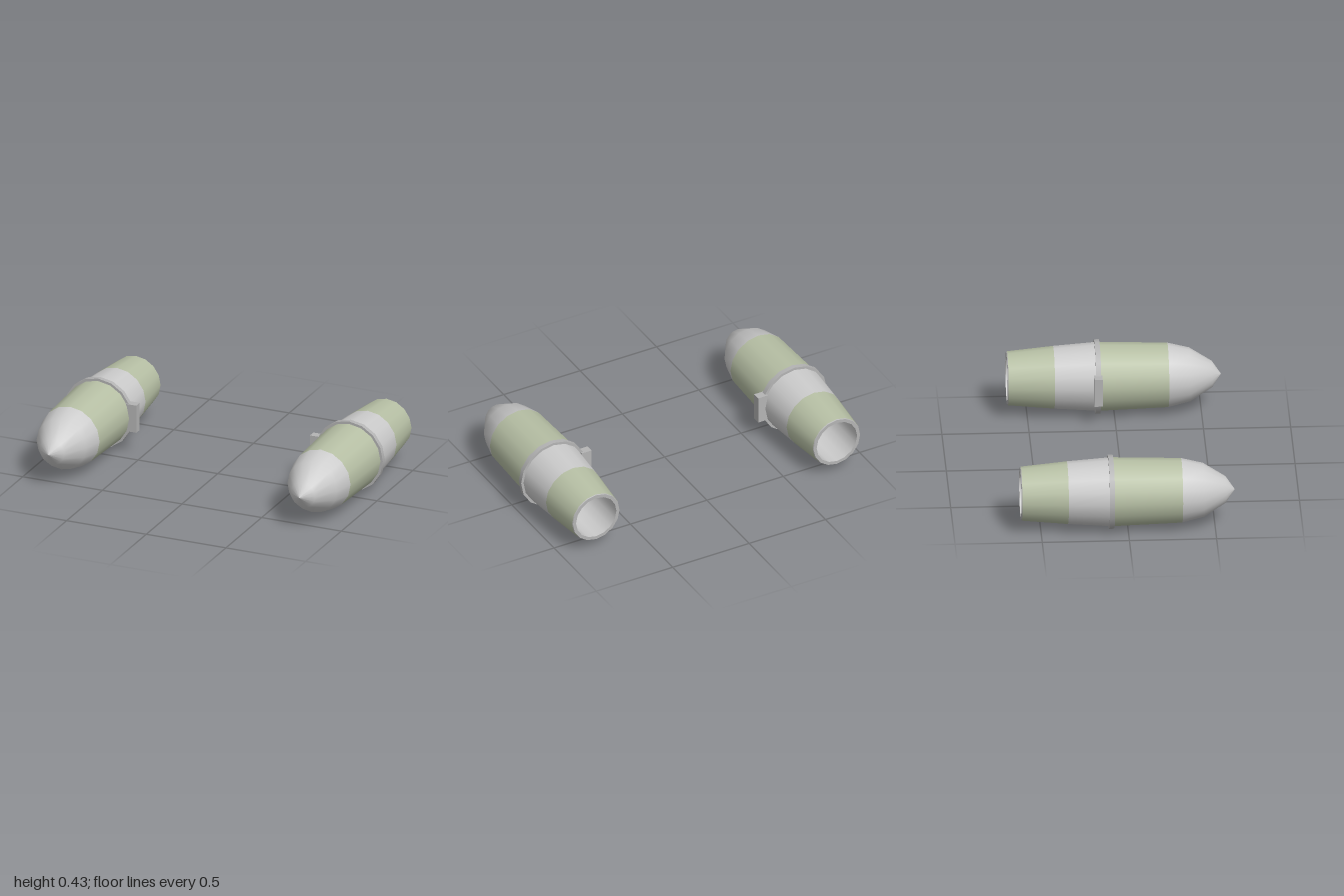
import * as THREE from 'three';

const SIDES = 16;
const grey = new THREE.MeshStandardMaterial({ color: 0xcccccc });
const olive = new THREE.MeshStandardMaterial({ color: 0xb7c0a5 });
const darkGrey = new THREE.MeshStandardMaterial({ color: 0xb4b4b4 });

// Turned shell along z; profile is [radius, z], outward when z increases
function shell(name, profile, material) {
  const points = profile.map(([r, z]) => new THREE.Vector2(r, z));
  const geometry = new THREE.LatheGeometry(points, SIDES).rotateX(Math.PI / 2);
  const mesh = new THREE.Mesh(geometry, material);
  mesh.name = name;
  return mesh;
}

// One pod on its own axis; inward is the x direction of the mounting lug
function createPod(name, inward) {
  const pod = new THREE.Group();
  pod.name = name;

  // Outer skin, in bands from tail to nose
  pod.add(shell('tailBand', [[0.155, -0.61], [0.18, -0.345]], olive));
  pod.add(shell('rearBand', [[0.18, -0.345], [0.198, -0.095]], grey));
  pod.add(shell('frontBand', [[0.198, -0.095], [0.185, 0.31]], olive));
  pod.add(shell('noseCone', [[0.185, 0.31], [0.155, 0.435], [0.076, 0.563], [0, 0.615]], grey));

  // Open tail: bevel, rim and hollow bore
  pod.add(shell('tailBevel', [[0.152, -0.615], [0.155, -0.61]], darkGrey));
  pod.add(shell('tailRim', [[0.132, -0.615], [0.152, -0.615]], darkGrey));
  pod.add(shell('bore', [[0, -0.1], [0.14, -0.1], [0.132, -0.615]], grey));

  // Clamp ring round the widest point
  const ring = new THREE.Mesh(
    new THREE.CylinderGeometry(0.2125, 0.2125, 0.029, SIDES).rotateX(Math.PI / 2), darkGrey);
  ring.name = 'clampRing';
  ring.position.z = -0.096;
  pod.add(ring);

  // Mounting lug on the inner side
  const lug = new THREE.Mesh(new THREE.BoxGeometry(0.065, 0.168, 0.048), darkGrey);
  lug.name = 'mountingLug';
  lug.position.set(inward * 0.21, 0.004, -0.099);
  pod.add(lug);
  return pod;
}

export function createModel() {
  const model = new THREE.Group();
  model.name = 'podPair';
  for (const side of [-1, 1]) {
    const pod = createPod(side > 0 ? 'leftPod' : 'rightPod', -side);
    pod.position.set(side * 0.7875, 0.2125, 0);
    model.add(pod);
  }
  return model;
}
